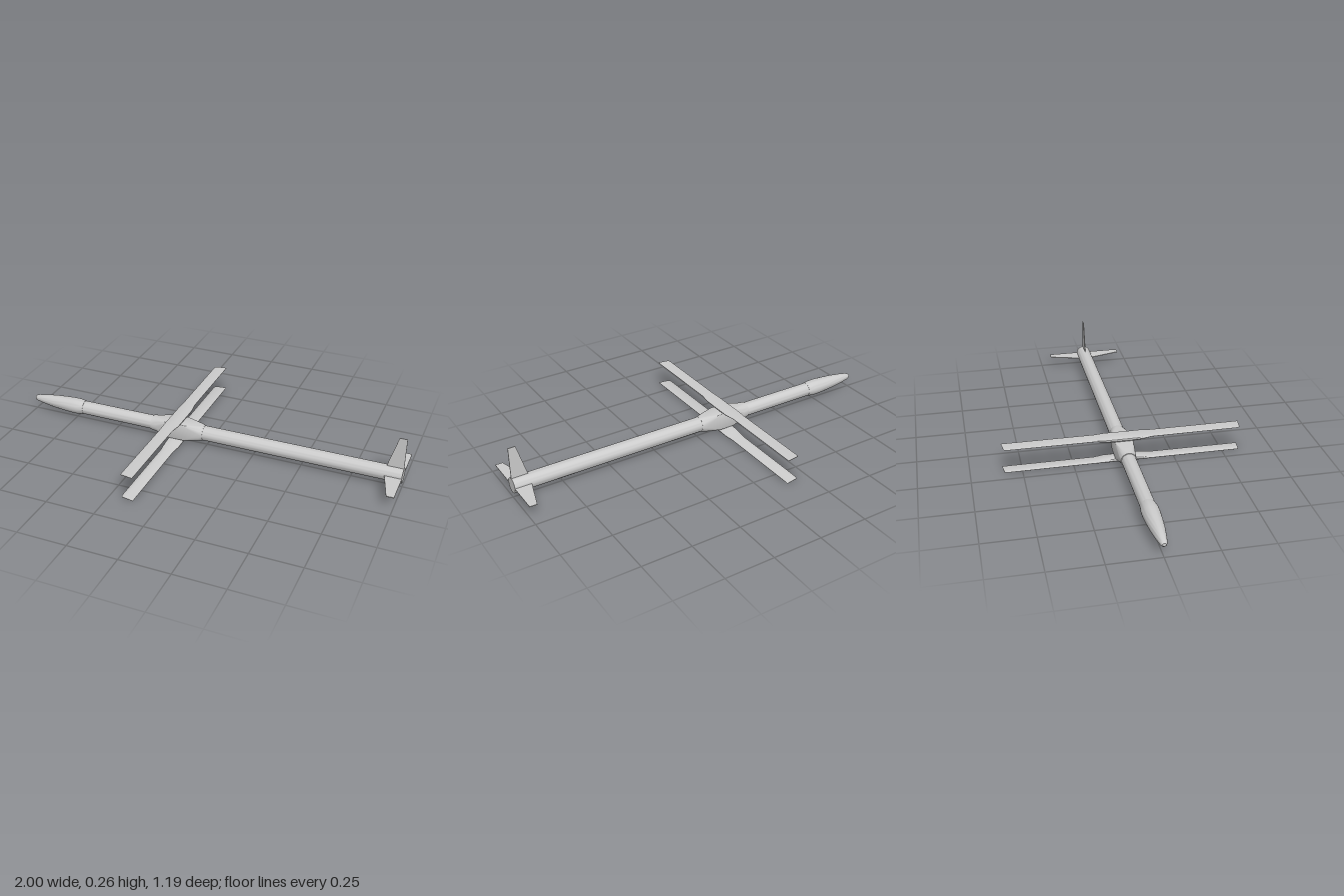
import * as THREE from 'three';
import { toCreasedNormals } from 'three/addons/utils/BufferGeometryUtils.js';

const AXIS_Y = 0.066;
const material = new THREE.MeshStandardMaterial({ color: 0xcccccc });

function addMesh(group, name, geometry) {
  const mesh = new THREE.Mesh(geometry, material);
  mesh.name = name;
  group.add(mesh);
  return mesh;
}

// Skin through closed rings of [x, y, z] points, capped at both ends
function loft(rings, crease = 0.6) {
  const n = rings[0].length;
  const tris = [];
  for (let i = 0; i < rings.length - 1; i++) {
    for (let j = 0; j < n; j++) {
      const k = (j + 1) % n;
      const [a, b, c, d] = [rings[i][j], rings[i][k], rings[i + 1][k], rings[i + 1][j]];
      tris.push([a, b, c], [a, c, d]);
    }
  }
  const last = rings[rings.length - 1];
  for (let j = 1; j < n - 1; j++) {
    tris.push([rings[0][0], rings[0][j + 1], rings[0][j]]);
    tris.push([last[0], last[j], last[j + 1]]);
  }
  // Signed volume tells whether the faces point outward
  const volume = tris.reduce((sum, [a, b, c]) => sum +
    a[0] * (b[1] * c[2] - b[2] * c[1]) +
    a[1] * (b[2] * c[0] - b[0] * c[2]) +
    a[2] * (b[0] * c[1] - b[1] * c[0]), 0);
  if (volume < 0) tris.forEach((t) => t.reverse());
  const geometry = new THREE.BufferGeometry();
  geometry.setAttribute('position', new THREE.Float32BufferAttribute(tris.flat(2), 3));
  return toCreasedNormals(geometry, crease);
}

// Rounded-square ring across the fuselage; corner = half gives a circle
function squareRing(x, half, corner) {
  const ring = [];
  for (let q = 0; q < 4; q++) {
    for (let s = 0; s <= 6; s++) {
      const a = (q + s / 6) * Math.PI / 2;
      const mid = (q + 0.5) * Math.PI / 2;
      const y = Math.sign(Math.sin(mid)) * (half - corner) + Math.sin(a) * corner;
      const z = Math.sign(Math.cos(mid)) * (half - corner) + Math.cos(a) * corner;
      ring.push([x, AXIS_Y + y, z]);
    }
  }
  return ring;
}

// Wing across both sides: flat outer face, inner face thickened near the root.
// direction = 1 bulges upward (lower wing), -1 downward (upper wing)
function wing(outerY, direction) {
  const half = [ // [z, leading x, trailing x, thickness, extra z at trailing edge]
    [0.045, -0.2, -0.121, 0.021, 0],
    [0.09, -0.2, -0.121, 0.017, 0],
    [0.14, -0.195, -0.129, 0.009, 0],
    [0.572, -0.195, -0.129, 0.007, 0.008],
    [0.585, -0.191, -0.129, 0.003, 0.009],
  ];
  const profile = [ // [chord fraction, height fraction]
    [0, 0.45], [0.06, 0.8], [0.25, 1], [0.5, 0.95], [0.8, 0.65], [1, 0.3],
    [1, 0.1], [0.6, 0], [0.15, 0], [0.04, 0.15],
  ];
  const ring = ([z, x0, x1, t, dz], side) => profile.map(([u, v]) => [
    x0 + (x1 - x0) * u,
    outerY + direction * t * v,
    side * (z + dz * u),
  ]);
  return loft([
    ...[...half].reverse().map((s) => ring(s, -1)),
    ...half.map((s) => ring(s, 1)),
  ]);
}

export function createModel() {
  const group = new THREE.Group();
  group.name = 'biplaneGlider';

  // Nose, slim forward tube and main tube turned around the long axis
  const turn = (name, points, segments = 32) => {
    const geometry = new THREE.LatheGeometry(points.map(([x, r]) => new THREE.Vector2(r, -x)).reverse(), segments);
    geometry.rotateZ(Math.PI / 2);
    geometry.translate(0, AXIS_Y, 0);
    return addMesh(group, name, toCreasedNormals(geometry, 0.5));
  };
  turn('noseCone', [
    [-1, 0], [-1, 0.008], [-0.995, 0.013], [-0.98, 0.018], [-0.94, 0.025], [-0.88, 0.033],
    [-0.82, 0.038], [-0.77, 0.041], [-0.735, 0.041], [-0.7, 0.036], [-0.7, 0],
  ]);
  turn('forwardTube', [[-0.71, 0], [-0.71, 0.035], [-0.2, 0.036], [-0.2, 0]]);
  turn('rearTube', [[-0.2, 0], [-0.2, 0.038], [1, 0.038], [1, 0]]);

  // Wing mount: blends from round collar to square block and back
  addMesh(group, 'wingMount', loft([
    squareRing(-0.3, 0.039, 0.039),
    squareRing(-0.27, 0.041, 0.036),
    squareRing(-0.2, 0.045, 0.004),
    squareRing(-0.115, 0.045, 0.004),
    squareRing(-0.035, 0.042, 0.034),
    squareRing(-0.015, 0.039, 0.039),
  ]));

  // Wings with the centre pads that seat them on the mount
  addMesh(group, 'lowerWing', wing(0.002, 1));
  addMesh(group, 'upperWing', wing(0.13, -1));

  // Tail: one upright fin and two level stabilisers
  const fin = (name, root, tip) => {
    const shape = new THREE.Shape([
      new THREE.Vector2(0.915, root), new THREE.Vector2(1, root),
      new THREE.Vector2(1, tip), new THREE.Vector2(0.963, tip),
    ]);
    const geometry = new THREE.ExtrudeGeometry(shape, { depth: 0.004, bevelEnabled: false });
    geometry.translate(0, 0, -0.002);
    return addMesh(group, name, geometry);
  };
  fin('tailFin', 0.03, 0.199).position.y = AXIS_Y;
  for (const [name, side] of [['leftStabiliser', 1], ['rightStabiliser', -1]]) {
    const mesh = fin(name, 0.03, 0.199);
    mesh.rotation.x = side * Math.PI / 2;
    mesh.position.y = AXIS_Y;
  }
  return group;
}
